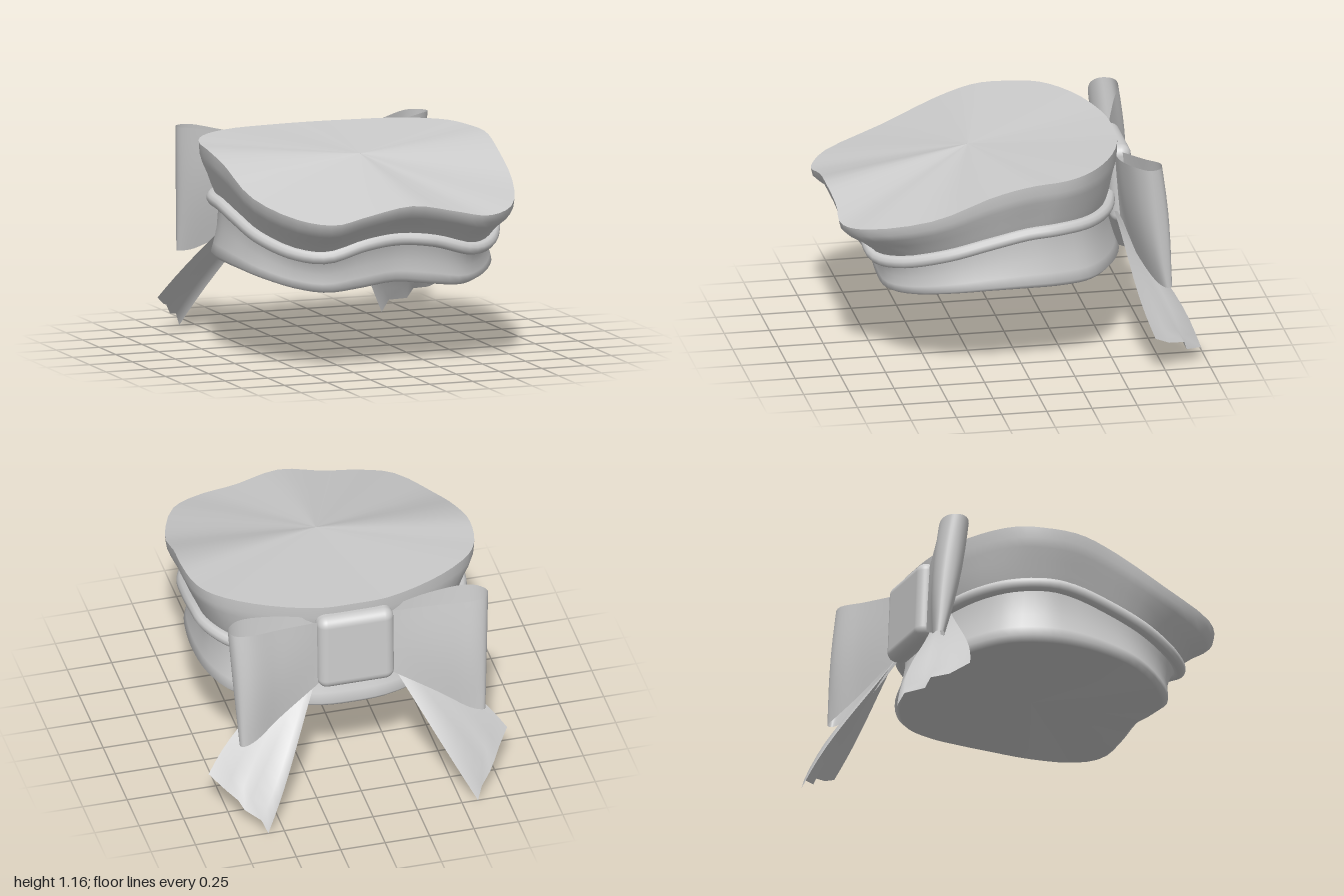
import * as THREE from 'three';
import { RoundedBoxGeometry } from 'three/addons/geometries/RoundedBoxGeometry.js';

const grey = new THREE.MeshStandardMaterial({ color: 0xcccccc });
const cloth = new THREE.MeshStandardMaterial({ color: 0xcccccc, side: THREE.DoubleSide });
const V = (x, y, z) => new THREE.Vector3(x, y, z);
const N = 72;

// Smooth surface through equal-length rows of points
function loft(rows, closed) {
  const n = rows[0].length, pos = [], idx = [];
  rows.forEach(r => r.forEach(p => pos.push(p.x, p.y, p.z)));
  for (let i = 0; i < rows.length - 1; i++) {
    for (let j = 0; j < (closed ? n : n - 1); j++) {
      const k = (j + 1) % n;
      const a = i * n + j, b = i * n + k, c = a + n, d = b + n;
      idx.push(a, b, c, b, d, c);
    }
  }
  const g = new THREE.BufferGeometry();
  g.setAttribute('position', new THREE.Float32BufferAttribute(pos, 3));
  g.setIndex(idx);
  g.computeVertexNormals();
  return g;
}

// Closed curve from its +x half, listed front to back
function mirrored(half) {
  const pts = half.map(p => V(...p));
  for (let i = half.length - 2; i > 0; i--) pts.push(V(-half[i][0], half[i][1], half[i][2]));
  return new THREE.CatmullRomCurve3(pts, true, 'centripetal');
}
const sample = curve => Array.from({ length: N }, (_, i) => curve.getPoint(i / N));

// Blend two rings: t sets the height, out the horizontal spread
const blend = (a, b, t, out) => a.map((p, i) => {
  const q = b[i];
  return V(p.x + (q.x - p.x) * out, p.y + (q.y - p.y) * t, p.z + (q.z - p.z) * out);
});
const toward = (ring, c, t) => ring.map(p => p.clone().lerp(c, t));
// Shrink a ring horizontally about the middle of the cap
const pinch = (ring, k) => ring.map(p => V(p.x * k, p.y, .1 + (p.z - .1) * k));

export function createModel() {
  const model = new THREE.Group();
  const add = (name, geo, mat = grey, parent = model) => {
    const m = new THREE.Mesh(geo, mat);
    m.name = name;
    parent.add(m);
    return m;
  };

  // Key rings of the cap
  const hemCurve = mirrored([[0, .48, .74], [.2, .46, .75], [.4, .44, .73], [.55, .455, .62], [.68, .49, .42], [.73, .51, .2],
    [.74, .515, 0], [.72, .51, -.17], [.64, .5, -.36], [.46, .49, -.5], [.2, .485, -.6], [0, .48, -.61]]);
  const seamCurve = mirrored([[0, .73, .8], [.2, .71, .81], [.42, .65, .79], [.56, .66, .68], [.68, .72, .45], [.72, .79, .2],
    [.73, .835, 0], [.72, .845, -.15], [.63, .84, -.33], [.46, .83, -.46], [.2, .82, -.54], [0, .82, -.55]]);
  const rimCurve = mirrored([[0, .94, .99], [.25, .895, .975], [.44, .86, .985], [.61, .88, .885], [.76, .96, .53], [.795, 1.09, .2],
    [.81, 1.14, 0], [.785, 1.15, -.2], [.71, 1.16, -.34], [.5, 1.16, -.49], [.2, 1.15, -.59], [0, 1.15, -.6]]);
  const hem = sample(hemCurve), seam = sample(seamCurve), rim = sample(rimCurve);

  // Head band: closed base, rolled hem, slightly pinched waist
  const baseCentre = V(0, .49, .1), roll = pinch(hem, .96);
  add('headBand', loft([toward(roll, baseCentre, .999), toward(roll, baseCentre, .5), roll, blend(hem, seam, .09, .02),
    pinch(blend(hem, seam, .25, .2), .985), pinch(blend(hem, seam, .5, .4), .965),
    pinch(blend(hem, seam, .78, .75), .96), pinch(seam, .97)], true));

  // Rolled piping around the seam
  add('piping', new THREE.TubeGeometry(seamCurve, 96, .036, 10, true));

  // Crown flaring out to a rounded rim
  add('crown', loft([pinch(seam, .97), blend(seam, rim, .25, .14), blend(seam, rim, .45, .42),
    blend(seam, rim, .64, .76), blend(seam, rim, .8, .95), rim], true));

  // Slanted top panel
  const peak = V(0, 1.105, .2);
  add('topPanel', loft([rim, toward(rim, peak, .35), toward(rim, peak, .7), toward(rim, peak, .999)], true), cloth);

  // Bow at the back
  const bow = new THREE.Group();
  bow.name = 'bow';
  model.add(bow);
  const knot = add('bowKnot', new RoundedBoxGeometry(.43, .45, .13, 5, .055), grey, bow);
  knot.position.set(0, .88, -.612);
  knot.rotation.x = .04;

  // Loop outlines in (x, z) at the upper and lower edges
  const upper = [[.19, -.61], [.45, -.69], [.63, -.75], [.71, -.73], [.73, -.67], [.66, -.6], [.45, -.56], [.19, -.575]];
  const lower = [[.19, -.63], [.45, -.72], [.61, -.79], [.68, -.8], [.69, -.77], [.62, -.73], [.45, -.66], [.19, -.6]];
  // Tail corners from the inner to the outer edge, with a ragged end
  const tailEnd = [[.59, 0, -1], [.62, .07, -.97], [.69, .09, -.88], [.72, .145, -.86], [.77, .165, -.77], [.84, .22, -.68]];

  for (const s of [1, -1]) {
    const side = s > 0 ? 'left' : 'right';
    const edge = (pts, y0, y1) => new THREE.CatmullRomCurve3(
      pts.map(([x, z]) => V(s * x, y0 + (y1 - y0) * Math.min(1, (x - .19) / .45), z)), false, 'centripetal').getPoints(40);
    const top = edge(upper, 1.07, 1.155), bottom = edge(lower, .69, .455);
    const rows = [];
    for (let i = 0; i <= 8; i++) {
      const t = i / 8, puff = Math.sin(Math.PI * t) * .02;
      rows.push(top.map((p, j) => {
        const q = p.clone().lerp(bottom[j], t);
        q.z -= puff * Math.sin(2 * Math.PI * j / 40);
        return q;
      }));
    }
    add(side + 'BowLoop', loft(rows, false), cloth, bow);

    // Hanging tail, fanning out from behind the knot
    const tail = [];
    for (let i = 0; i <= 10; i++) {
      const t = i / 10, bend = Math.sin(Math.PI * t ** 1.6);
      tail.push(tailEnd.map(([x, y, z], j) => {
        const u = j / 5;
        const p = V(.2 + .12 * u, .73 + .05 * u, -.59 + .04 * u).lerp(V(x, y, z), t);
        p.z += bend * (.07 * u - .045 + .015 * Math.cos(j * 2.1));
        p.x = s * (p.x + bend * .025 * u);
        return p;
      }));
    }
    add(side + 'BowTail', loft(tail, false), cloth, bow);
  }
  return model;
}
